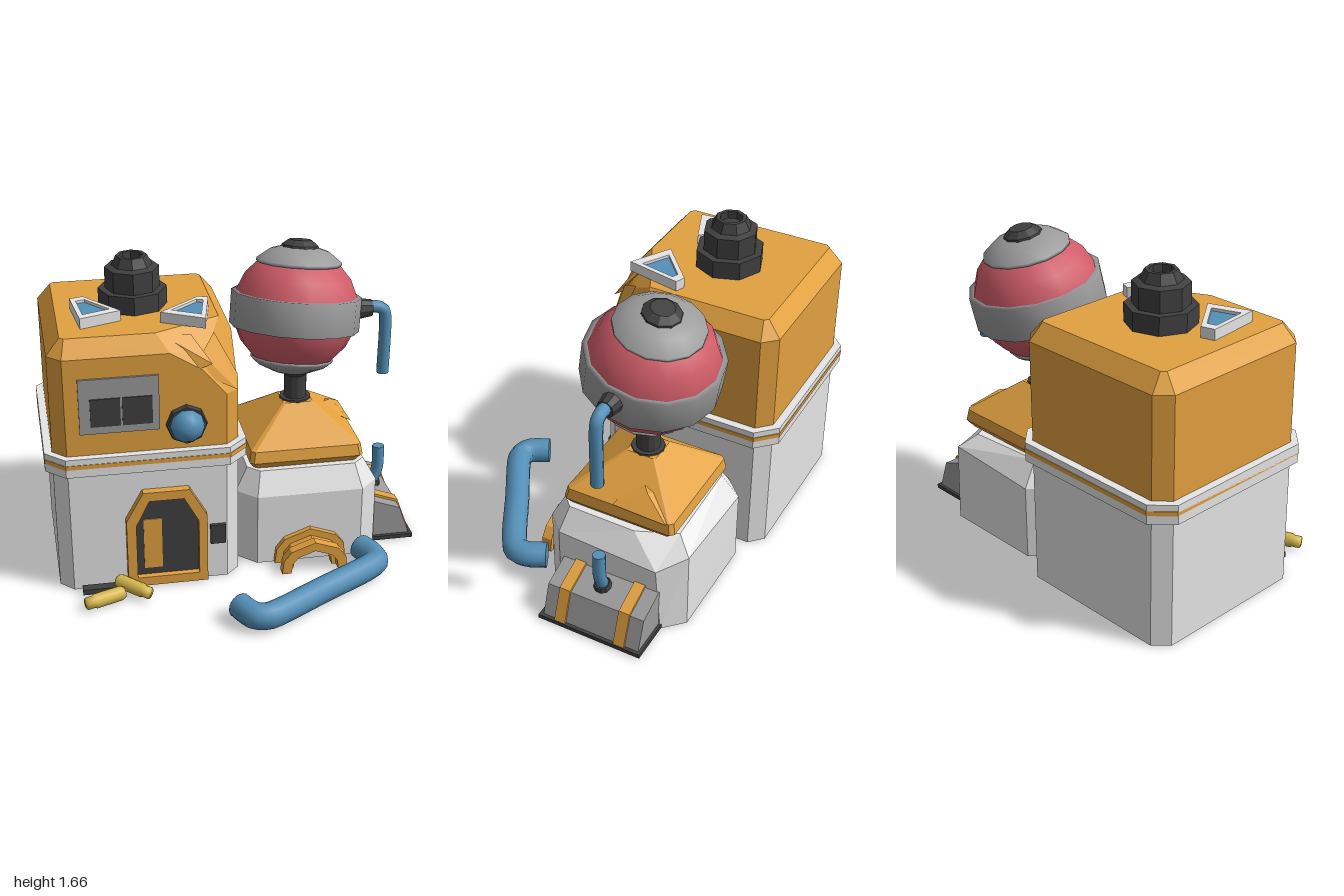
import * as THREE from 'three';
import { ConvexGeometry } from 'three/addons/geometries/ConvexGeometry.js';

const mat = (name, color, flat = true, side = THREE.FrontSide) => {
  const m = new THREE.MeshStandardMaterial({ color, flatShading: flat, side });
  m.name = name;
  return m;
};

export function createModel() {
  const root = new THREE.Group();
  root.name = 'outpost';
  const white = mat('whiteWall', 0xe6e6e6, true, THREE.DoubleSide);
  const grey = mat('greyMetal', 0x9c9c9c, false);
  const dark = mat('darkMetal', 0x404040);
  const orange = mat('orangePaint', 0xe2a140);
  const red = mat('redShell', 0xd05c68, false);
  const blue = mat('bluePipe', 0x5490b8, false, THREE.DoubleSide);
  const yellow = mat('yellowBottle', 0xd8b84c, false);

  const add = (name, geo, material, parent = root) => {
    const m = new THREE.Mesh(geo, material);
    m.name = name;
    parent.add(m);
    return m;
  };
  const V = (x, y, z) => new THREE.Vector3(x, y, z);
  // eight corners of a rectangle with cut corners, starting front right (-x), running to +x
  const ring = (y, x0, x1, z0, z1, c) => [
    V(x0 + c, y, z1), V(x1 - c, y, z1), V(x1, y, z1 - c), V(x1, y, z0 + c),
    V(x1 - c, y, z0), V(x0 + c, y, z0), V(x0, y, z0 + c), V(x0, y, z1 - c)];
  const hull = (name, pts, material) => add(name, new ConvexGeometry(pts.flat()), material);
  // walls between rings, open below, with a lid when asked
  const shell = (name, rings, material, lid) => {
    const tris = [];
    for (let k = 0; k + 1 < rings.length; k++) {
      const [a, b] = [rings[k], rings[k + 1]];
      a.forEach((p, i) => {
        const j = (i + 1) % a.length;
        tris.push(p, a[j], b[j], p, b[j], b[i]);
      });
    }
    const top = rings[rings.length - 1];
    if (lid) for (let i = 1; i + 1 < top.length; i++) tris.push(top[0], top[i], top[i + 1]);
    const g = new THREE.BufferGeometry().setFromPoints(tris);
    g.computeVertexNormals();
    return add(name, g, material);
  };
  const box = (name, material, x0, x1, y0, y1, z0, z1) => {
    const g = new THREE.BoxGeometry(x1 - x0, y1 - y0, z1 - z0);
    return add(name, g.translate((x0 + x1) / 2, (y0 + y1) / 2, (z0 + z1) / 2), material);
  };
  const shapeOf = (pts) => new THREE.Shape(pts.map(([x, y]) => new THREE.Vector2(x, y)));
  const slab = (name, material, pts, z, depth, hole) => {
    const s = shapeOf(pts);
    if (hole) s.holes.push(shapeOf(hole));
    const g = new THREE.ExtrudeGeometry(s, { depth, bevelEnabled: false });
    return add(name, g.translate(0, 0, z), material);
  };
  const lathe = (name, material, pts, sides, parent = root) =>
    add(name, new THREE.LatheGeometry(pts.map(([x, y]) => new THREE.Vector2(x, y)), sides), material, parent);
  const pipe = (name, pts, r, segments) => {
    const curve = new THREE.CatmullRomCurve3(pts.map((p) => V(...p)), false, 'centripetal');
    add(name, new THREE.TubeGeometry(curve, segments, r, 10), blue);
    for (const t of [0, 1]) {
      const end = add(name + 'End', new THREE.CircleGeometry(r, 10), blue);
      const p = curve.getPoint(t);
      end.position.copy(p);
      end.lookAt(p.clone().addScaledVector(curve.getTangent(t), t ? 1 : -1));
    }
  };

  // main tower: hollow white ground floor, trim band, orange upper floor with a crushed corner
  shell('towerBase', [0, 0.7].map((y) => ring(y, -0.96, -0.01, -0.75, 0.2, 0.07)), white, false);
  hull('trimBand', [0.68, 0.78].map((y) => ring(y, -1, 0.03, -0.79, 0.24, 0.1)), white);
  hull('trimStripe', [0.725, 0.748].map((y) => ring(y, -1, 0.033, -0.793, 0.243, 0.1)), orange);
  const keep = (r) => r.filter((_, i) => i !== 1 && i !== 2);
  hull('towerTop', [
    ring(0.77, -0.96, -0.01, -0.75, 0.2, 0.07),
    keep(ring(1.3, -0.96, -0.01, -0.75, 0.2, 0.07)),
    keep(ring(1.385, -0.89, -0.08, -0.68, 0.13, 0.02)),
    V(-0.42, 1.385, 0.13), V(-0.36, 1.3, 0.2), V(-0.2, 1.2, 0.2), V(-0.08, 1.06, 0.2),
    V(-0.01, 1.05, 0.13), V(-0.01, 1.12, 0.02), V(-0.01, 1.3, -0.07), V(-0.08, 1.385, -0.04),
    V(-0.15, 1.3, 0.1)], orange);
  hull('upperFold', [V(-0.41, 1.38, 0.12), V(-0.32, 1.17, 0.195), V(-0.15, 1.23, 0.205), V(-0.24, 1.35, 0.1)], orange);
  hull('lowerFold', [V(-0.2, 1.27, 0.17), V(-0.16, 1.15, 0.195), V(-0.02, 1.07, 0.18), V(-0.01, 1.13, 0.12), V(-0.12, 1.34, 0.06)], orange);

  // chimney
  const chimney = lathe('chimney', dark, [[0, 1.38], [0.177, 1.38], [0.177, 1.48], [0.14, 1.48], [0.14, 1.59],
    [0.105, 1.6], [0.08, 1.65], [0.06, 1.65], [0.06, 1.61], [0, 1.61]], 8);
  chimney.position.set(-0.485, 0, -0.285);
  chimney.rotation.y = -0.06;

  // three-sided skylights lying on the roof
  const skylights = [[[-0.81, -0.27], [-0.74, -0.29], [-0.57, -0.06], [-0.78, 0.02]],
    [[-0.16, -0.19], [-0.11, -0.17], [-0.17, 0.12], [-0.38, 0]]];
  for (const corners of skylights) {
    const outer = corners.map(([x, z]) => [x, -z]);
    const cx = outer.reduce((s, p) => s + p[0], 0) / 4, cy = outer.reduce((s, p) => s + p[1], 0) / 4;
    const inner = outer.map(([x, y]) => [cx + (x - cx) * 0.66, cy + (y - cy) * 0.66]);
    for (const m of [slab('skylightFrame', white, outer, 1.385, 0.055, inner),
      slab('skylightGlass', blue, inner, 1.38, 0.045)]) m.rotation.x = -Math.PI / 2;
  }

  // front panel with two dark vents
  box('wallPanel', grey, -0.82, -0.42, 0.9, 1.195, 0.19, 0.212);
  for (const x of [-0.765, -0.605]) box('panelVent', dark, x, x + 0.15, 0.94, 1.09, 0.21, 0.218);

  // round porthole
  const port = add('portholeRing', new THREE.CylinderGeometry(0.1, 0.107, 0.04, 8).rotateX(Math.PI / 2), dark);
  port.position.set(-0.285, 0.915, 0.21);
  const dome = add('portholeDome', new THREE.SphereGeometry(0.09, 10, 4, 0, Math.PI * 2, 0, Math.PI / 2).rotateX(Math.PI / 2), blue);
  dome.position.set(-0.285, 0.915, 0.22);

  // arched doorway
  const doorway = [[-0.56, 0.06], [-0.235, 0.06], [-0.235, 0.37], [-0.31, 0.51], [-0.49, 0.51], [-0.56, 0.37]];
  slab('doorFrame', orange, [[-0.61, 0.01], [-0.19, 0.01], [-0.19, 0.4], [-0.28, 0.56], [-0.52, 0.56], [-0.61, 0.4]],
    0.195, 0.05, doorway);
  slab('door', dark, doorway, 0.202, 0.009);
  box('doorStripe', orange, -0.52, -0.425, 0.1, 0.39, 0.209, 0.217);
  box('doorKeypad', dark, -0.17, -0.09, 0.21, 0.32, 0.195, 0.22);

  // bottles on the ground and the plate beside them
  box('groundPlate', dark, -0.85, -0.67, 0.01, 0.04, 0.23, 0.28);
  for (const [a, b] of [[V(-0.64, 0.04, 0.33), V(-0.85, 0.04, 0.41)], [V(-0.67, 0.06, 0.24), V(-0.51, 0.045, 0.38)]]) {
    const d = b.clone().sub(a), l = d.length();
    const bottle = lathe('bottle', yellow, [[0, 0], [0.03, 0.005], [0.038, 0.02], [0.038, l * 0.75],
      [0.032, l * 0.8], [0.032, l * 0.97], [0, l]], 10);
    bottle.position.copy(a);
    bottle.quaternion.setFromUnitVectors(V(0, 1, 0), d.normalize());
  }

  // annex: hollow white base with a dented back corner
  const eaves = ring(0.4, 0, 0.77, -0.66, 0.115, 0.1);
  eaves[3].set(0.77, 0.37, -0.53);
  eaves[4].set(0.66, 0.43, -0.655);
  const ceiling = ring(0.525, 0.065, 0.7, -0.57, 0.05, 0.06);
  ceiling[3].set(0.69, 0.51, -0.37);
  ceiling[4].set(0.59, 0.5, -0.57);
  shell('annexBase', [ring(0, 0, 0.77, -0.66, 0.115, 0.1), eaves, ceiling], white, true);
  // annex roof with a bent edge
  hull('annexRoof', [ring(0.52, 0.1, 0.66, -0.55, 0.01, 0.02), ring(0.56, 0.075, 0.69, -0.58, 0.035, 0.02),
    ring(0.62, 0.085, 0.68, -0.57, 0.02, 0.02), ring(0.79, 0.3, 0.46, -0.36, -0.2, 0.01)], orange);
  hull('bentRoofEdge', [V(0.5, 0.72, -0.3), V(0.61, 0.7, -0.4), V(0.69, 0.63, -0.25), V(0.69, 0.62, -0.54), V(0.45, 0.67, -0.5)], orange);

  // post
  const post = lathe('post', dark, [[0, 0.77], [0.085, 0.77], [0.085, 0.8], [0.062, 0.8], [0.062, 0.93], [0.1, 0.98], [0.1, 1.02], [0, 1.02]], 12);
  post.position.set(0.38, 0, -0.28);

  // tilted globe: red shell, grey belt and caps, dark knob
  const globe = new THREE.Group();
  globe.name = 'globe';
  globe.position.set(0.377, 1.285, -0.3);
  globe.rotation.set(-0.185, 0, -0.1);
  root.add(globe);
  lathe('globeShell', red, [-75, -52, -33, -15, 0, 15, 33, 52, 75].map((d) => {
    const a = THREE.MathUtils.degToRad(d);
    return [0.334 * Math.cos(a), 0.334 * Math.sin(a)];
  }), 14, globe);
  lathe('globeBelt', grey, [[0.315, -0.09], [0.346, -0.09], [0.346, 0.09], [0.315, 0.09]], 14, globe);
  lathe('topCap', grey, [[0.2, 0.24], [0.225, 0.25], [0.225, 0.265], [0.16, 0.315], [0.08, 0.34], [0, 0.34]], 14, globe);
  lathe('bottomCap', grey, [[0, -0.335], [0.1, -0.33], [0.19, -0.29], [0.22, -0.265], [0.22, -0.25], [0.2, -0.24]], 14, globe);
  lathe('topKnob', dark, [[0.1, 0.325], [0.097, 0.345], [0.06, 0.373], [0, 0.373]], 10, globe);

  // broken side pipe, upper and lower ends with collars
  const collar = (name, r0, r1, h, p, rz) => {
    const m = add(name, new THREE.CylinderGeometry(r0, r1, h, 10), dark);
    m.position.set(...p);
    m.rotation.z = rz;
  };
  collar('upperCollar', 0.045, 0.06, 0.1, [0.735, 1.28, -0.27], -Math.PI / 2);
  collar('lowerCollar', 0.04, 0.053, 0.045, [0.835, 0.225, -0.27], -0.35);
  pipe('upperPipe', [[0.74, 1.285, -0.27], [0.82, 1.285, -0.27], [0.855, 1.265, -0.27], [0.865, 1.22, -0.27], [0.865, 0.9, -0.27]], 0.033, 20);
  pipe('lowerPipe', [[0.82, 0.2, -0.27], [0.85, 0.27, -0.27], [0.863, 0.32, -0.27], [0.863, 0.45, -0.27]], 0.033, 10);

  // sloped side hatch with two straps and a dark foot
  slab('sideHatch', grey, [[0.75, 0.02], [0.985, 0.02], [0.925, 0.188], [0.77, 0.245], [0.75, 0.245]], -0.55, 0.54);
  box('hatchFoot', dark, 0.75, 1, 0.005, 0.028, -0.565, 0.01);
  for (const z of [-0.475, -0.14]) {
    slab('hatchStrap', orange, [[0.75, 0.025], [0.997, 0.025], [0.932, 0.2], [0.77, 0.26], [0.75, 0.26]], z, 0.06);
  }

  // stepped arch in front of the annex
  const arch = (w, h, z, depth) => {
    const line = (a, b) => [[a, 0.005], [a * 0.95, b * 0.45], [a * 0.72, b * 0.74], [0, b],
      [-a * 0.72, b * 0.74], [-a * 0.95, b * 0.45], [-a, 0.005]];
    slab('frontArch', orange, [...line(w, h), ...line(w - 0.05, h - 0.05).reverse()], z, depth).position.x = 0.385;
  };
  arch(0.195, 0.2, 0.1, 0.045);
  arch(0.155, 0.16, 0.145, 0.06);
  arch(0.178, 0.18, 0.205, 0.055);

  // fallen pipe on the ground
  pipe('fallenPipe', [[-0.09, 0.075, 0.61], [-0.05, 0.075, 0.69], [-0.02, 0.075, 0.72], [0.03, 0.075, 0.728], [0.08, 0.075, 0.71],
    [0.35, 0.075, 0.55], [0.65, 0.075, 0.375], [0.697, 0.075, 0.33], [0.698, 0.075, 0.265], [0.655, 0.075, 0.17]], 0.068, 40);

  return root;
}
